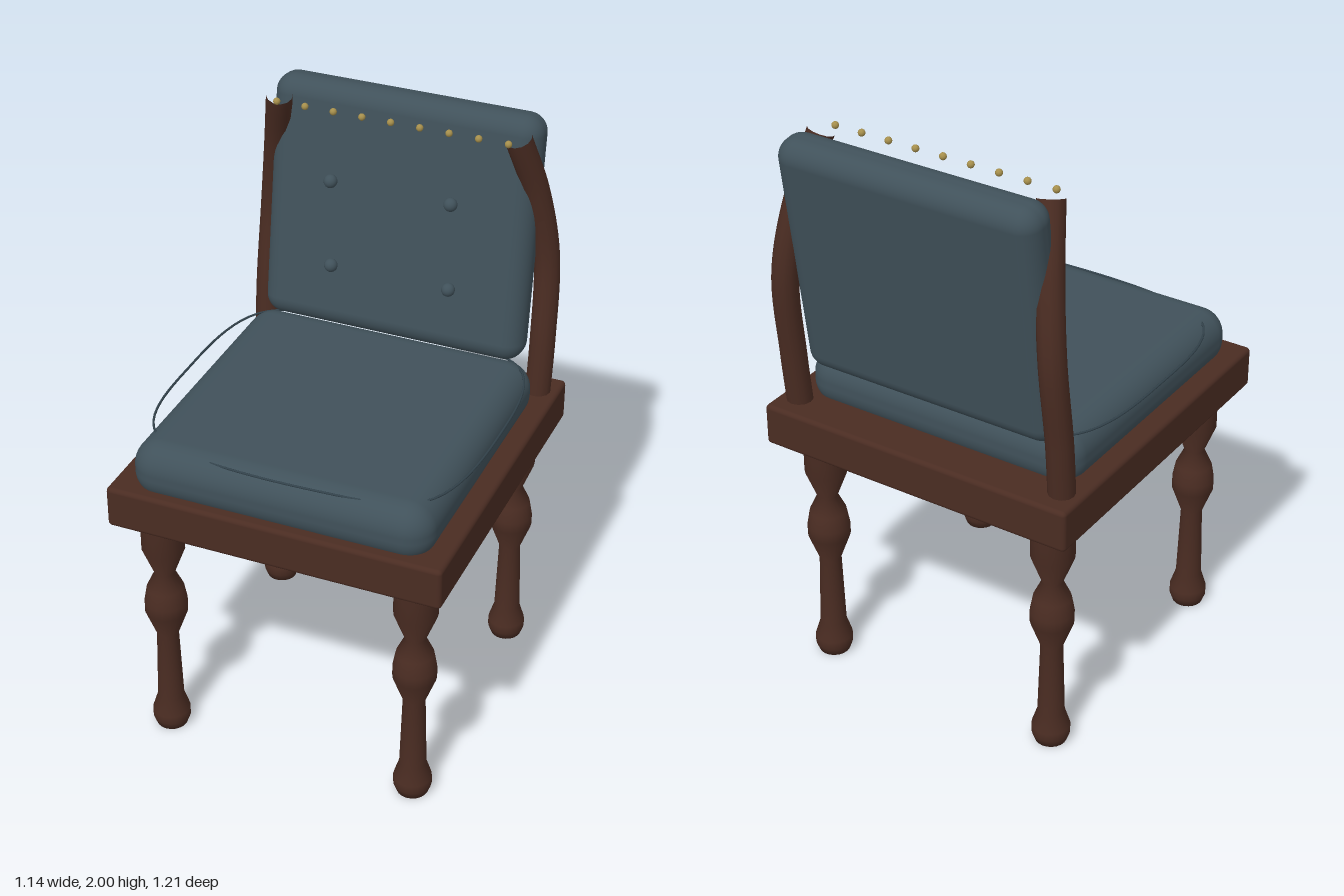
import * as THREE from 'three';
import { RoundedBoxGeometry } from 'three/addons/geometries/RoundedBoxGeometry.js';

function material(name, color) {
  const m = new THREE.MeshStandardMaterial({ color });
  m.name = name;
  return m;
}

export function createModel() {
  const wood = material('darkWood', 0x4a2c22);
  const fabric = material('blueGreyFabric', 0x40515a);
  const trim = material('darkTrim', 0x33434c);
  const brass = material('brass', 0xa68f4c);

  const chair = new THREE.Group();
  chair.name = 'chair';
  const add = (name, geometry, mat, x = 0, y = 0, z = 0) => {
    const mesh = new THREE.Mesh(geometry, mat);
    mesh.name = name;
    mesh.position.set(x, y, z);
    chair.add(mesh);
    return mesh;
  };

  // Turned legs, from the foot upwards: radius, height
  const profile = [
    [0, 0], [0.053, 0], [0.064, 0.03], [0.064, 0.06], [0.045, 0.12],
    [0.037, 0.385], [0.072, 0.48], [0.072, 0.52], [0.062, 0.575],
    [0.034, 0.635], [0.072, 0.735], [0.072, 0.9],
  ].map(([r, y]) => new THREE.Vector2(r, y));
  const legGeometry = new THREE.LatheGeometry(profile, 20);
  for (const side of [-1, 1]) {
    add('frontLeg', legGeometry, wood, side * 0.443, 0, 0.477);
    add('backLeg', legGeometry, wood, side * 0.443, 0, -0.435);
  }

  // Seat frame and cushion
  add('seatFrame', new RoundedBoxGeometry(1.142, 0.146, 1.185, 3, 0.015), wood, 0, 0.943, 0.015);
  add('seatCushion', new RoundedBoxGeometry(1.02, 0.2, 1.02, 6, 0.09), fabric, 0, 1.07, 0.068);

  // Thin piping loop bowing out around the seat
  const pipingPath = new THREE.CatmullRomCurve3([
    [-0.46, 0.45], [0.13, 0.54], [0.46, 0.46], [0.543, 0.04],
    [0.46, -0.38], [0, -0.45], [-0.46, -0.38], [-0.543, 0.04],
  ].map(([x, z]) => new THREE.Vector3(x, 1.155, z)), true);
  add('seatPiping', new THREE.TubeGeometry(pipingPath, 96, 0.004, 6, true), trim);

  // Reclined back cushion
  const back = add('backCushion', new RoundedBoxGeometry(0.93, 0.85, 0.145, 6, 0.065), fabric, 0, 1.578, -0.481);
  back.rotation.x = -0.145;

  // Curved back posts leaning in and forward at the top
  for (const side of [-1, 1]) {
    const path = new THREE.CatmullRomCurve3([
      [0.5, 0.98, -0.477], [0.502, 1.2, -0.499], [0.492, 1.5, -0.529],
      [0.458, 1.75, -0.492], [0.413, 1.965, -0.418],
    ].map(([x, y, z]) => new THREE.Vector3(side * x, y, z)));
    add('backPost', new THREE.TubeGeometry(path, 32, 0.044, 12, false), wood);
  }

  // Tufting buttons
  const buttonGeometry = new THREE.SphereGeometry(0.023, 16, 12);
  for (const x of [-0.21, 0.21]) {
    for (const y of [1.4, 1.715]) add('tuftButton', buttonGeometry, fabric, x, y, -0.366);
  }

  // Row of upholstery nails
  const nailGeometry = new THREE.SphereGeometry(0.012, 12, 8);
  for (let i = -4; i <= 4; i++) add('upholsteryNail', nailGeometry, brass, i * 0.0995, 1.967, -0.365);

  return chair;
}
